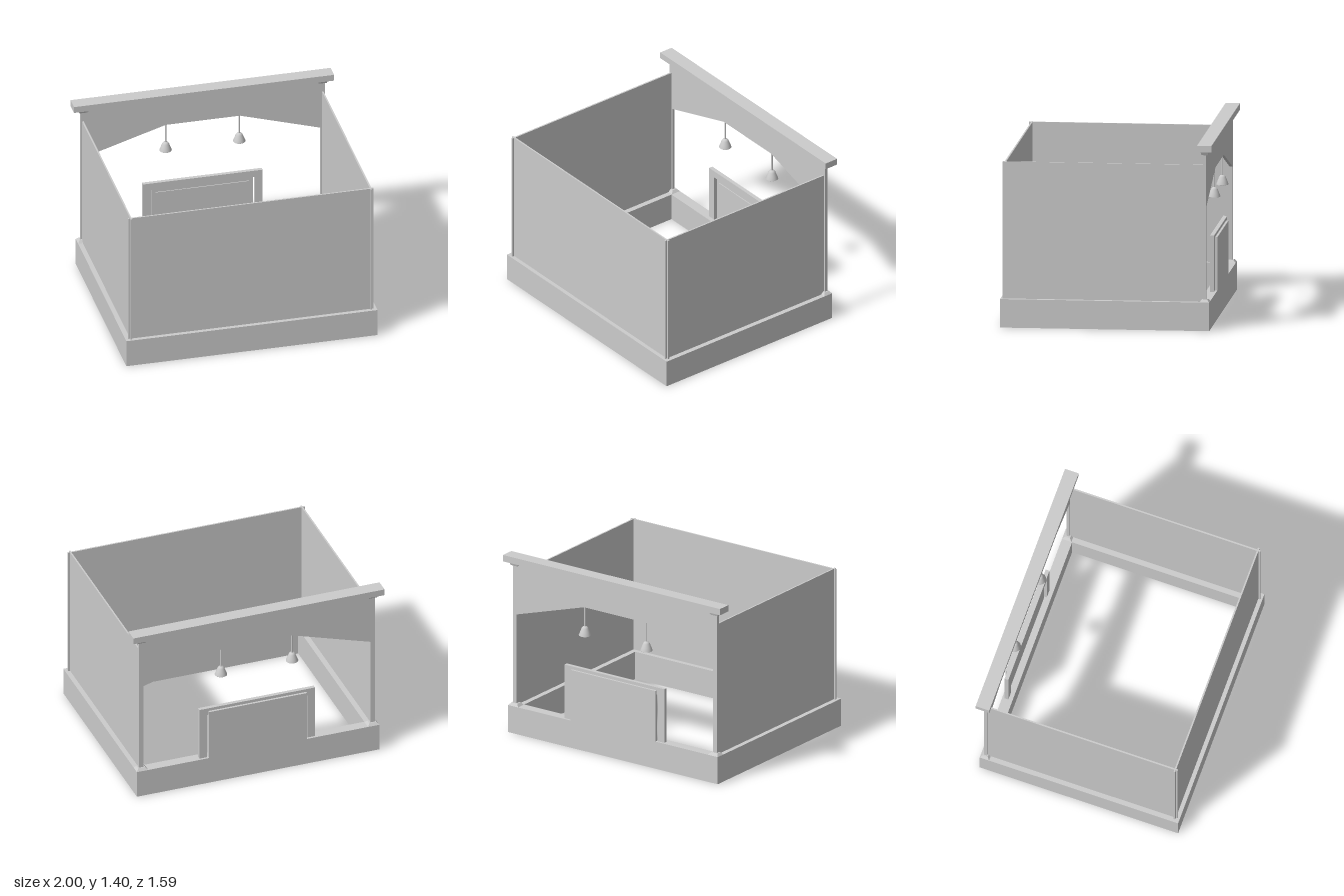
import * as THREE from 'three';

export function createModel() {
  const root = new THREE.Group();
  const mat = new THREE.MeshStandardMaterial({ color: 0xcccccc, flatShading: true });
  const smooth = new THREE.MeshStandardMaterial({ color: 0xcccccc, side: THREE.DoubleSide });

  const add = (name, geometry, material = mat, parent = root) => {
    const mesh = new THREE.Mesh(geometry, material);
    mesh.name = name;
    parent.add(mesh);
    return mesh;
  };
  // box from its minimum and maximum corners
  const box = (name, x0, x1, y0, y1, z0, z1, parent) => {
    const m = add(name, new THREE.BoxGeometry(x1 - x0, y1 - y0, z1 - z0), mat, parent);
    m.position.set((x0 + x1) / 2, (y0 + y1) / 2, (z0 + z1) / 2);
    return m;
  };
  // four-sided block with different bottom and top sizes
  const taper = (name, x, y0, y1, z, bottom, top) => {
    const g = new THREE.BoxGeometry(1, y1 - y0, 1);
    const p = g.attributes.position;
    for (let i = 0; i < p.count; i++) {
      const s = p.getY(i) > 0 ? top : bottom;
      p.setX(i, p.getX(i) * s[0]);
      p.setZ(i, p.getZ(i) * s[1]);
    }
    g.computeVertexNormals();
    add(name, g).position.set(x, (y0 + y1) / 2, z);
  };
  const shape = (pts) => new THREE.Shape(pts.map(([x, y]) => new THREE.Vector2(x, y)));
  const extrude = (s, depth) => new THREE.ExtrudeGeometry(s, { depth, bevelEnabled: false });

  // open rectangular plinth, drawn in plan and laid flat
  const plan = shape([[-0.965, -0.795], [0.965, -0.795], [0.965, 0.775], [-0.965, 0.775]]);
  plan.holes.push(shape([[-0.875, -0.715], [-0.875, 0.695], [0.875, 0.695], [0.875, -0.715]]));
  add('plinth', extrude(plan, 0.215).rotateX(-Math.PI / 2));

  // thin walls that cross at the front corners
  box('frontWall', -0.943, 0.943, 0.215, 1.25, 0.752, 0.764);
  for (const s of [-1, 1]) {
    const wall = box('sideWall', -0.006, 0.006, 0.215, 1.25, -0.735, 0.778);
    wall.position.x = s * 0.922;
  }

  // back wall with a three-sided arch
  const arch = shape([
    [-0.94, 0.215], [-0.905, 0.215], [-0.905, 0.94], [-0.285, 1.13], [0.285, 1.13],
    [0.905, 0.94], [0.905, 0.215], [0.94, 0.215], [0.94, 1.355], [-0.94, 1.355],
  ]);
  add('archedBackWall', extrude(arch, 0.023)).position.z = -0.75;
  box('topBeam', -1, 1, 1.355, 1.405, -0.795, -0.687);

  // feet and capitals of the arch posts
  for (const s of [-1, 1]) {
    taper('postFoot', s * 0.92, 0.215, 0.235, -0.738, [0.09, 0.074], [0.056, 0.04]);
    taper('postCapital', s * 0.92, 1.327, 1.355, -0.739, [0.062, 0.045], [0.086, 0.064]);
  }

  // raised counter front with a surround on its inner side
  box('counterPanel', -0.39, 0.39, 0.215, 0.617, -0.775, -0.745);
  const surround = shape([
    [-0.46, 0.215], [-0.4, 0.215], [-0.4, 0.585], [0.4, 0.585],
    [0.4, 0.215], [0.46, 0.215], [0.46, 0.64], [-0.46, 0.64],
  ]);
  add('counterSurround', extrude(surround, 0.03)).position.z = -0.757;
  box('counterRail', -0.36, 0.36, 0.545, 0.551, -0.746, -0.738);

  // hanging lamps
  const shadeProfile = [
    [0.006, 0.978], [0.018, 0.974], [0.026, 0.962], [0.036, 0.936], [0.047, 0.908],
    [0.044, 0.905], [0.032, 0.934], [0.022, 0.958], [0.006, 0.966],
  ].map(([r, y]) => new THREE.Vector2(r, y));
  for (const s of [-1, 1]) {
    const lamp = new THREE.Group();
    lamp.name = 'hangingLamp';
    lamp.position.set(s * 0.283, 0, -0.74);
    root.add(lamp);
    add('lampRod', new THREE.CylinderGeometry(0.006, 0.006, 0.17, 12), smooth, lamp).position.y = 1.055;
    add('lampShade', new THREE.LatheGeometry(shadeProfile, 24), smooth, lamp);
    add('lampBulb', new THREE.SphereGeometry(0.016, 16, 10), smooth, lamp).position.y = 0.938;
  }
  return root;
}
